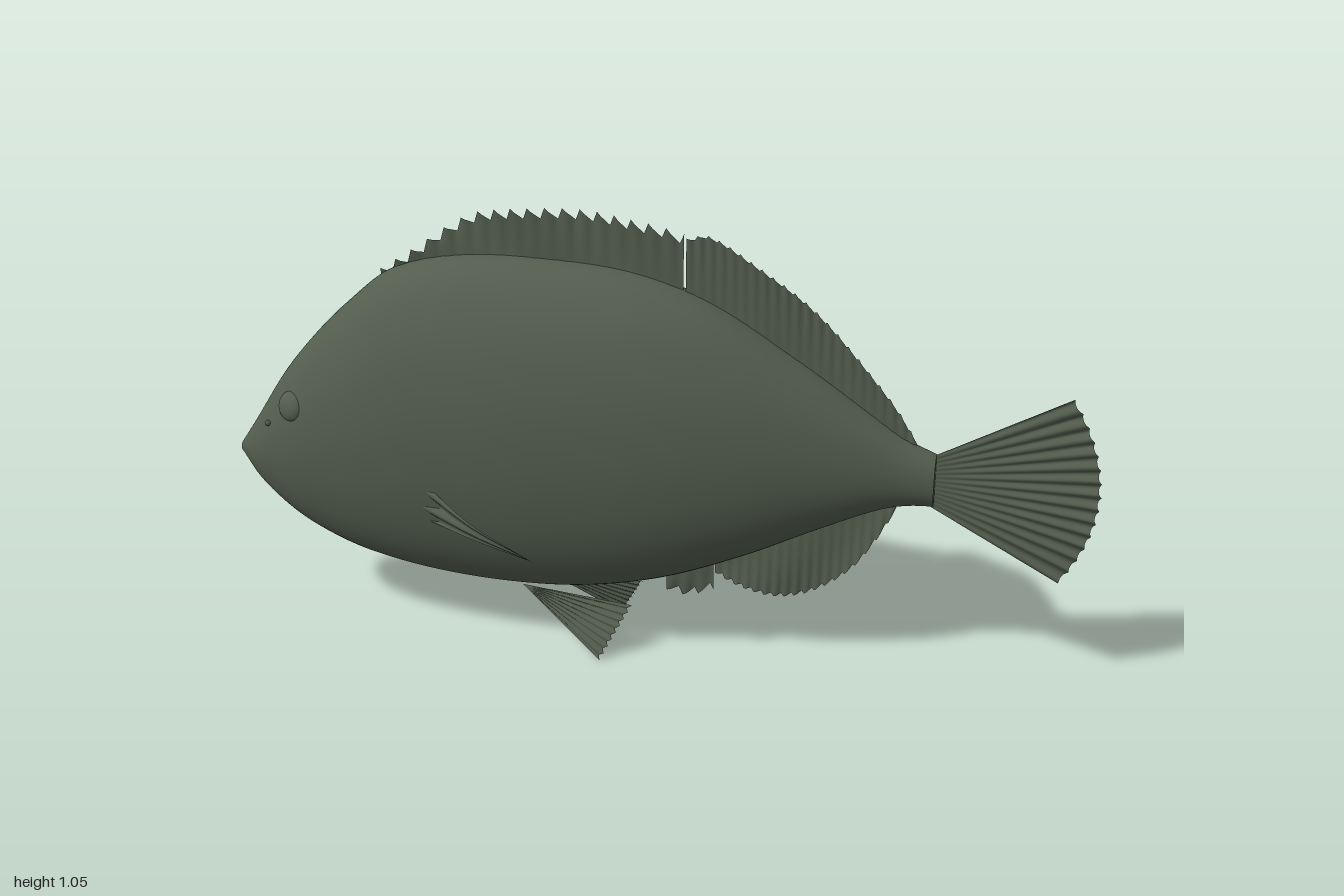
import * as THREE from 'three';
import { mergeVertices } from 'three/addons/utils/BufferGeometryUtils.js';

const { sin, cos, PI } = Math;
const lerp = THREE.MathUtils.lerp;

// Smooth curve through [x, y] points, evaluated at x
function curveAt(pts, x) {
  let i = 0;
  while (i < pts.length - 2 && x > pts[i + 1][0]) i++;
  const slope = (k) => {
    const a = pts[Math.max(k - 1, 0)], b = pts[Math.min(k + 1, pts.length - 1)];
    return (b[1] - a[1]) / (b[0] - a[0]);
  };
  const [x0, y0] = pts[i], [x1, y1] = pts[i + 1], h = x1 - x0;
  const t = THREE.MathUtils.clamp((x - x0) / h, 0, 1), t2 = t * t, t3 = t2 * t;
  return (2 * t3 - 3 * t2 + 1) * y0 + (t3 - 2 * t2 + t) * h * slope(i)
    + (3 * t2 - 2 * t3) * y1 + (t3 - t2) * h * slope(i + 1);
}

// Body profiles: back, belly and half width
const BACK = [[-1, 0.43], [-0.96, 0.49], [-0.873, 0.625], [-0.79, 0.726], [-0.71, 0.806], [-0.61, 0.888], [-0.47, 0.932],
  [-0.26, 0.942], [-0.045, 0.924], [0.125, 0.87], [0.33, 0.748], [0.49, 0.638], [0.57, 0.585], [0.64, 0.555]];
const BELLY = [[-1, 0.405], [-0.95, 0.336], [-0.873, 0.267], [-0.79, 0.219], [-0.686, 0.18], [-0.526, 0.15], [-0.34, 0.139],
  [-0.15, 0.15], [0.035, 0.192], [0.22, 0.267], [0.38, 0.347], [0.515, 0.41], [0.58, 0.428], [0.64, 0.432]];
const WIDTH = [[-1, 0.014], [-0.95, 0.05], [-0.87, 0.086], [-0.8, 0.11], [-0.6, 0.155], [-0.4, 0.176], [-0.25, 0.18],
  [0, 0.165], [0.2, 0.135], [0.4, 0.088], [0.55, 0.052], [0.64, 0.037]];

function bodyPoint(x, angle) {
  const top = curveAt(BACK, x), low = curveAt(BELLY, x);
  return [x, (top + low) / 2 - cos(angle) * (top - low) / 2, sin(angle) * curveAt(WIDTH, x)];
}

// Sheet whose points follow a rule of u and v in 0..1
function sheet(nu, nv, rule) {
  const geo = new THREE.PlaneGeometry(1, 1, nu, nv);
  const pos = geo.attributes.position;
  for (let i = 0; i < pos.count; i++) {
    const u = (i % (nu + 1)) / nu, v = Math.floor(i / (nu + 1)) / nv;
    pos.setXYZ(i, ...rule(u, v));
  }
  geo.deleteAttribute('uv');
  geo.deleteAttribute('normal');
  const merged = mergeVertices(geo, 1e-5);
  merged.computeVertexNormals();
  return merged;
}

// Upright fin between a hidden base line and an outer edge, gently rippled
function medianFin(x0, x1, base, edge, teeth, depth) {
  return sheet(teeth * 4, 6, (u, v) => {
    const x = lerp(x0, x1, u);
    const phase = (u * teeth) % 1;
    const notch = depth * (phase < 0.75 ? phase / 0.75 : (1 - phase) / 0.25);
    const from = curveAt(base, x), to = curveAt(edge, x);
    const y = lerp(from, to - Math.sign(to - from) * notch, v);
    return [x, y, v * (0.006 * sin(x * 24 + v * 2) + 0.003 * sin(u * teeth * 2 * PI))];
  });
}

export function createModel() {
  const model = new THREE.Group();
  const skin = new THREE.MeshStandardMaterial({ color: 0x535d4e, side: THREE.DoubleSide });
  skin.name = 'olive grey skin';
  const add = (name, geo) => {
    const mesh = new THREE.Mesh(geo, skin);
    mesh.name = name;
    model.add(mesh);
    return mesh;
  };

  // Body with closed snout and tail stalk
  add('body', sheet(64, 90, (u, v) => bodyPoint(lerp(-1, 0.64, v ** 1.2), u * 2 * PI)));
  for (const [name, x, side] of [['snoutTip', -1, -1], ['tailStalkEnd', 0.64, 1]]) {
    const cap = add(name, new THREE.CircleGeometry(1, 32));
    const top = curveAt(BACK, x), low = curveAt(BELLY, x);
    cap.scale.set(curveAt(WIDTH, x), (top - low) / 2, 1);
    cap.rotation.y = side * PI / 2;
    cap.position.set(x, (top + low) / 2, 0);
  }

  // Fins along the back
  const backBase = BACK.map(([x, y]) => [x, y - 0.03]);
  add('spinyBackFin', medianFin(-0.63, 0.07, backBase,
    [[-0.63, 0.89], [-0.54, 0.95], [-0.47, 1.0], [-0.39, 1.04], [-0.2, 1.06], [0, 1.04], [0.07, 1.02]], 18, 0.025));
  add('softBackFin', medianFin(0.075, 0.605, backBase,
    [[0.075, 1.01], [0.125, 1.018], [0.22, 0.97], [0.33, 0.893], [0.435, 0.793], [0.54, 0.67], [0.605, 0.565]], 22, 0.008));

  // Fins under the belly
  const bellyBase = BELLY.map(([x, y]) => [x, y + 0.03]);
  add('spinyBellyFin', medianFin(0.035, 0.145, bellyBase,
    [[0.035, 0.15], [0.085, 0.138], [0.145, 0.16]], 3, 0.018));
  add('softBellyFin', medianFin(0.148, 0.565, bellyBase,
    [[0.148, 0.205], [0.2, 0.182], [0.3, 0.163], [0.38, 0.185], [0.46, 0.25], [0.515, 0.33], [0.565, 0.425]], 18, 0.008));

  // Fan-shaped tail with rays
  add('tailFin', sheet(96, 8, (u, v) => {
    const s = u * 2 - 1;
    const tip = 1 - 0.075 * s * s - 0.007 * Math.abs(sin(u * 14 * PI));
    return [lerp(0.63, tip, v), 0.49 + s * lerp(0.06, 0.22, v),
      v * (0.005 * sin(u * 28 * PI) + 0.008 * sin(u * 5))];
  }));

  for (const side of [1, -1]) {
    const prefix = side > 0 ? 'left' : 'right';

    // Splayed fin under the chest, spreading backwards
    add(prefix + 'PelvicFin', sheet(32, 6, (u, v) => {
      const edge = v * (1 - 0.03 * Math.abs(sin(u * 8 * PI)));
      const x = lerp(-0.3, lerp(-0.035, -0.1, u), edge);
      const y = lerp(0.15, lerp(0.13, 0.008, u), edge);
      return [x, y, side * (0.05 + 0.47 * (0.15 - y) + 0.004 * v * sin(u * 16 * PI))];
    }));

    // Side fin narrowing to a tip behind
    const upper = [[-0.485, 0.43, 0.155], [-0.37, 0.372, 0.205], [-0.225, 0.302, 0.22]];
    const lower = [[-0.51, 0.345, 0.14], [-0.37, 0.318, 0.178], [-0.235, 0.295, 0.203]];
    const path = (pts) => new THREE.CatmullRomCurve3(pts.map((p) => new THREE.Vector3(...p)));
    const a = path(upper), b = path(lower);
    add(prefix + 'PectoralFin', sheet(16, 12, (u, v) => {
      const p = a.getPoint(v).lerp(b.getPoint(v), u);
      return [p.x, p.y, side * (p.z + 0.008 * (1 - v) * sin(u * 4 * PI))];
    }));

    // Low round eye and nostril
    const eye = add(prefix + 'Eye', new THREE.SphereGeometry(0.036, 24, 16));
    eye.position.set(-0.835, 0.565, side * 0.078);
    eye.scale.z = 0.55;
    eye.rotation.set(-side * 0.3, -side * 0.3, 0);
    const nostril = add(prefix + 'Nostril', new THREE.SphereGeometry(0.007, 10, 8));
    nostril.position.set(-0.905, 0.51, side * 0.064);
  }
  return model;
}
